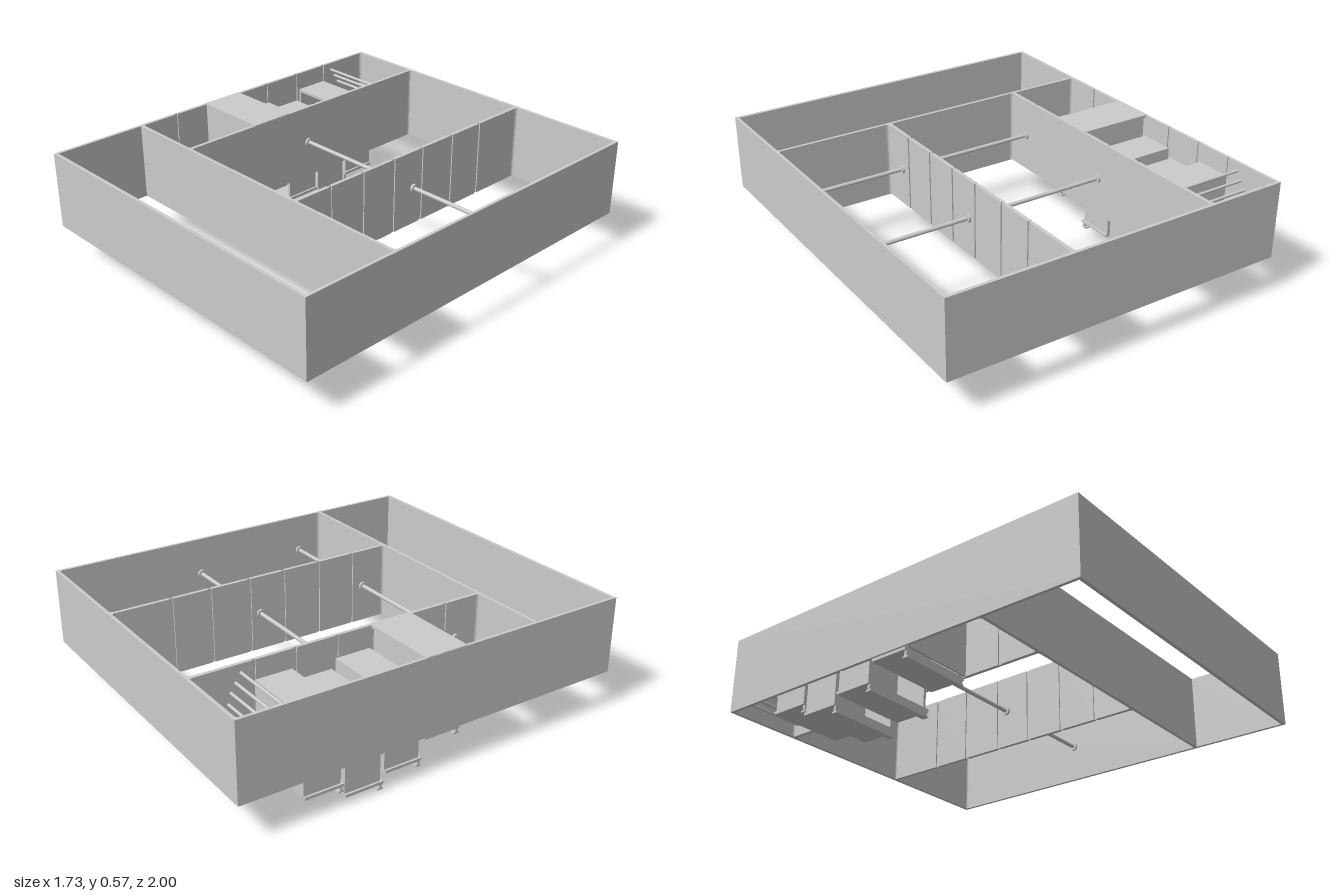
import * as THREE from 'three';

const BASE = 0.19, TOP = 0.57;
const NOTCHES = [-0.69, -0.49, -0.28, -0.09, 0.11, 0.31];

export function createModel() {
  const model = new THREE.Group();
  const material = new THREE.MeshStandardMaterial({ color: 0xcccccc, flatShading: true });
  const smooth = new THREE.MeshStandardMaterial({ color: 0xcccccc });

  const add = (parent, geometry, name, mat = material) => {
    const mesh = new THREE.Mesh(geometry, mat);
    mesh.name = name;
    parent.add(mesh);
    return mesh;
  };

  // box given by its limits on each axis
  const box = (parent, name, x0, x1, y0, y1, z0, z1) => {
    const mesh = add(parent, new THREE.BoxGeometry(x1 - x0, y1 - y0, z1 - z0), name);
    mesh.position.set((x0 + x1) / 2, (y0 + y1) / 2, (z0 + z1) / 2);
  };

  // round bar along x
  const bar = (parent, name, x0, x1, y, z, r) => {
    const geometry = new THREE.CylinderGeometry(r, r, x1 - x0, 20).rotateZ(Math.PI / 2);
    add(parent, geometry, name, smooth).position.set((x0 + x1) / 2, y, z);
  };

  // compartment outline with small corner radii and slots cut in its side walls
  const cell = (x0, x1, z0, z1, r, leftSlots, rightSlots) => {
    const path = new THREE.Path();
    const d = 0.006, w = 0.008;
    path.moveTo(x0 + r, -z0);
    path.lineTo(x1 - r, -z0);
    if (r) path.quadraticCurveTo(x1, -z0, x1, -z0 - r);
    for (const z of rightSlots) {
      path.lineTo(x1, -z + w);
      path.lineTo(x1 + d, -z + w);
      path.lineTo(x1 + d, -z - w);
      path.lineTo(x1, -z - w);
    }
    path.lineTo(x1, -z1 + r);
    if (r) path.quadraticCurveTo(x1, -z1, x1 - r, -z1);
    path.lineTo(x0 + r, -z1);
    if (r) path.quadraticCurveTo(x0, -z1, x0, -z1 + r);
    for (const z of [...leftSlots].reverse()) {
      path.lineTo(x0, -z - w);
      path.lineTo(x0 - d, -z - w);
      path.lineTo(x0 - d, -z + w);
      path.lineTo(x0, -z + w);
    }
    path.lineTo(x0, -z0 - r);
    if (r) path.quadraticCurveTo(x0, -z0, x0 + r, -z0);
    return path;
  };

  // carcass: outer walls and dividers in one extrusion
  const outline = new THREE.Shape([[-0.865, -1], [0.865, -1], [0.865, 1], [-0.865, 1]]
    .map(([x, y]) => new THREE.Vector2(x, y)));
  outline.holes.push(
    cell(-0.85, 0.85, 0.523, 0.983, 0, [], []),
    cell(-0.85, -0.481, -0.984, 0.507, 0.015, NOTCHES, NOTCHES),
    cell(-0.463, 0.253, -0.984, 0.507, 0.015, [], NOTCHES),
    cell(0.271, 0.85, -0.984, 0.507, 0.015, NOTCHES, []));
  const carcass = new THREE.ExtrudeGeometry(outline,
    { depth: TOP - BASE, bevelEnabled: false, curveSegments: 4 });
  carcass.rotateX(-Math.PI / 2).translate(0, BASE, 0);
  add(model, carcass, 'carcass');

  // hanging rails with end sockets
  for (const z of [-0.225, 0.377]) {
    const rail = new THREE.Group();
    rail.name = 'hangingRail';
    for (const [x0, x1] of [[-0.463, 0.253], [0.271, 0.85]]) {
      bar(rail, 'rail', x0, x1, 0.38, z, 0.01);
      bar(rail, 'socket', x0, x0 + 0.012, 0.38, z, 0.021);
      bar(rail, 'socket', x1 - 0.012, x1, 0.38, z, 0.021);
    }
    if (z > 0) bar(rail, 'socket', -0.493, -0.481, 0.38, z, 0.021);
    model.add(rail);
  }

  // drawers sliding out of the underside: [front level, upper edge in z]
  const x0 = -0.847, x1 = -0.484, t = 0.014;
  for (const [y, z] of [[0.175, 0.105], [0.08, -0.1], [0.035, -0.3], [0.095, -0.5]]) {
    const drawer = new THREE.Group();
    drawer.name = 'drawer';
    const back = y + 0.385, low = z - 0.19;
    box(drawer, 'drawerFront', x0 - 0.01, x1 + 0.01, y, y + t, low, z);
    box(drawer, 'drawerBack', x0, x1, back - t, back, low, z - 0.01);
    box(drawer, 'drawerBase', x0, x1, y + t, back - t, low, low + t);
    box(drawer, 'drawerSide', x0, x0 + t, y + t, back - t, low + t, z - 0.01);
    box(drawer, 'drawerSide', x1 - t, x1, y + t, back - t, low + t, z - 0.01);
    // hooked pull along the upper edge
    box(drawer, 'pullStem', x0, x1, y - 0.025, y + t, z - 0.012, z);
    box(drawer, 'pullLip', x0, x1, y - 0.033, y - 0.025, z - 0.022, z + 0.006);
    model.add(drawer);
  }

  // cover over the drawer bay, and the shelf above it
  box(model, 'bayCover', -0.863, -0.465, 0.558, 0.572, -0.1, 0.12);
  box(model, 'bayShelf', -0.85, -0.481, BASE, 0.558, 0.108, 0.12);

  // shoe rack bars, sloping up toward the rear
  const rack = new THREE.Group();
  rack.name = 'shoeRack';
  for (const [y, z] of [[0.25, -0.96], [0.33, -0.942], [0.23, -0.86],
    [0.4, -0.815], [0.45, -0.802], [0.49, -0.778], [0.53, -0.752]]) {
    bar(rack, 'rackBar', -0.85, -0.481, y, z, 0.007);
  }
  model.add(rack);

  return model;
}
